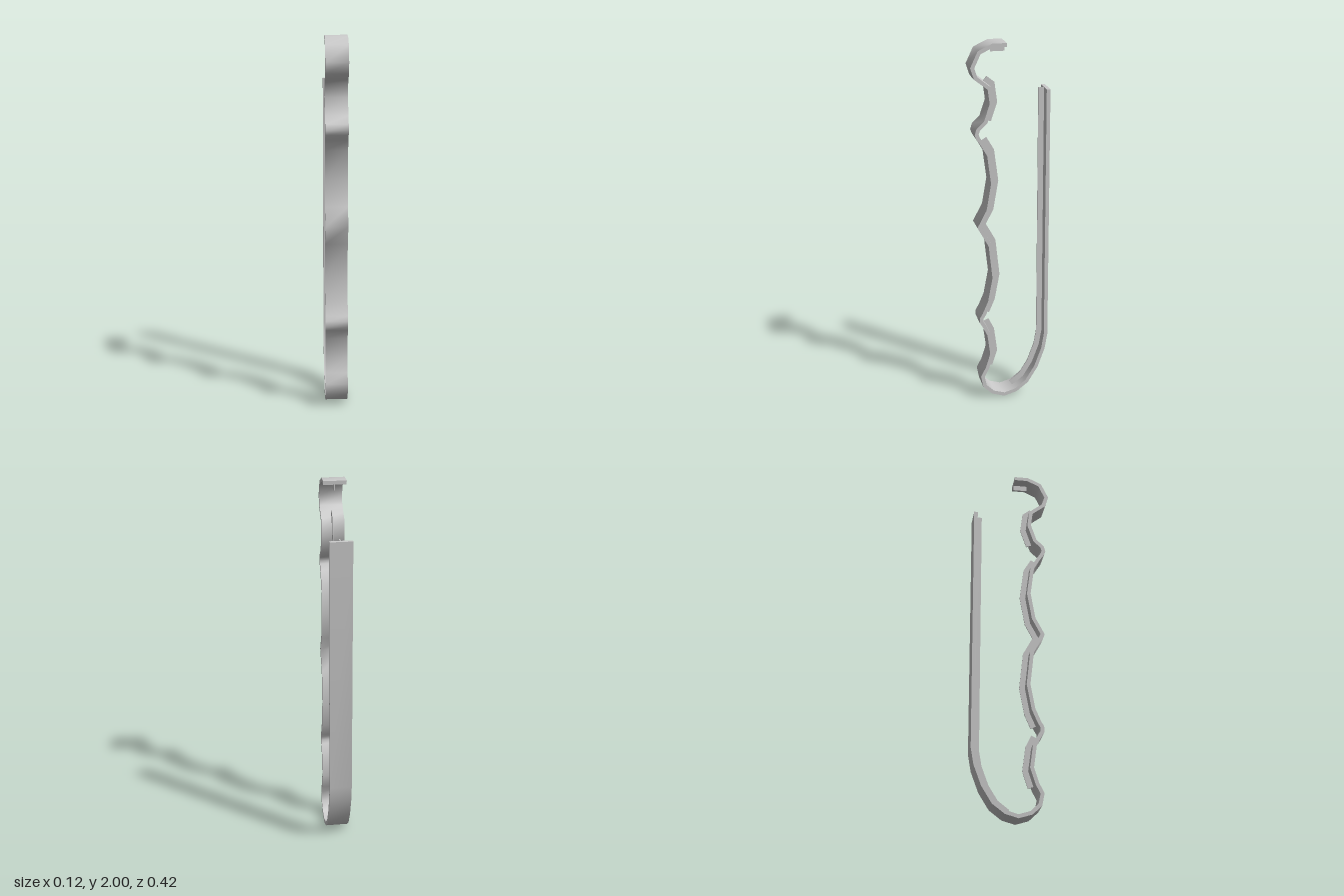
import * as THREE from 'three';
import { toCreasedNormals } from 'three/addons/utils/BufferGeometryUtils.js';

// Outer line of the bent strip as [z, y], from the top lip, down the wavy front, round to the back
const PATH = [
  [0.02, 2], [0.095, 2], [0.17, 1.965], [0.21, 1.88], [0.19, 1.82],
  [0.145, 1.785], [0.12, 1.765], [0.11, 1.69], [0.14, 1.6], [0.18, 1.562],
  [0.19, 1.53], [0.18, 1.505], [0.16, 1.475], [0.125, 1.415], [0.105, 1.26],
  [0.13, 1.115], [0.18, 1.02], [0.12, 0.91], [0.1, 0.725], [0.125, 0.59],
  [0.155, 0.52], [0.17, 0.495], [0.172, 0.465], [0.157, 0.44], [0.13, 0.385],
  [0.115, 0.27], [0.14, 0.19], [0.168, 0.135], [0.155, 0.07], [0.105, 0.022],
  [0.035, 0], [-0.035, 0.02], [-0.1, 0.07], [-0.155, 0.16], [-0.195, 0.27],
  [-0.21, 0.36], [-0.21, 1.75],
].map(([z, y]) => new THREE.Vector2(z, y));

const THICKNESS = 0.02;
const WIDTH = 0.12;

// Mitred offset of a polyline towards the inside of the bend
function offset(points, distance) {
  const normal = (a, b) => {
    const t = b.clone().sub(a).normalize();
    return new THREE.Vector2(t.y, -t.x);
  };
  return points.map((p, i) => {
    const before = i > 0 ? normal(points[i - 1], p) : normal(p, points[1]);
    const after = i < points.length - 1 ? normal(p, points[i + 1]) : before;
    const m = before.clone().add(after).normalize();
    return p.clone().addScaledVector(m, distance / m.dot(before));
  });
}

// Band between two offsets of a polyline, extruded across x
function band(name, points, near, far, x0, x1) {
  const outline = [...offset(points, near), ...offset(points, far).reverse()];
  const shape = new THREE.Shape(outline.map((p) => new THREE.Vector2(-p.x, p.y)));
  const geometry = new THREE.ExtrudeGeometry(shape, { depth: x1 - x0, bevelEnabled: false });
  geometry.rotateY(Math.PI / 2).translate(x0, 0, 0);
  const mesh = new THREE.Mesh(
    toCreasedNormals(geometry, 1.1),
    new THREE.MeshStandardMaterial({ color: 0xcccccc }),
  );
  mesh.name = name;
  return mesh;
}

export function createModel() {
  const group = new THREE.Group();
  group.name = 'wavyClip';

  // Bent strip
  group.add(band('strip', PATH, 0, THICKNESS, -WIDTH / 2, WIDTH / 2));

  // Thin stiffening ribs on the inside, as ranges of path points
  const ribs = [
    ['lipRib', 0, 1], ['upperRib', 5, 8], ['middleRib', 12, 20],
    ['lowerRib', 23, 26], ['backRib', 31, 36],
  ];
  for (const [name, from, to] of ribs) {
    group.add(band(name, PATH.slice(from, to + 1), THICKNESS * 0.75, 0.05, 0, 0.006));
  }
  return group;
}
